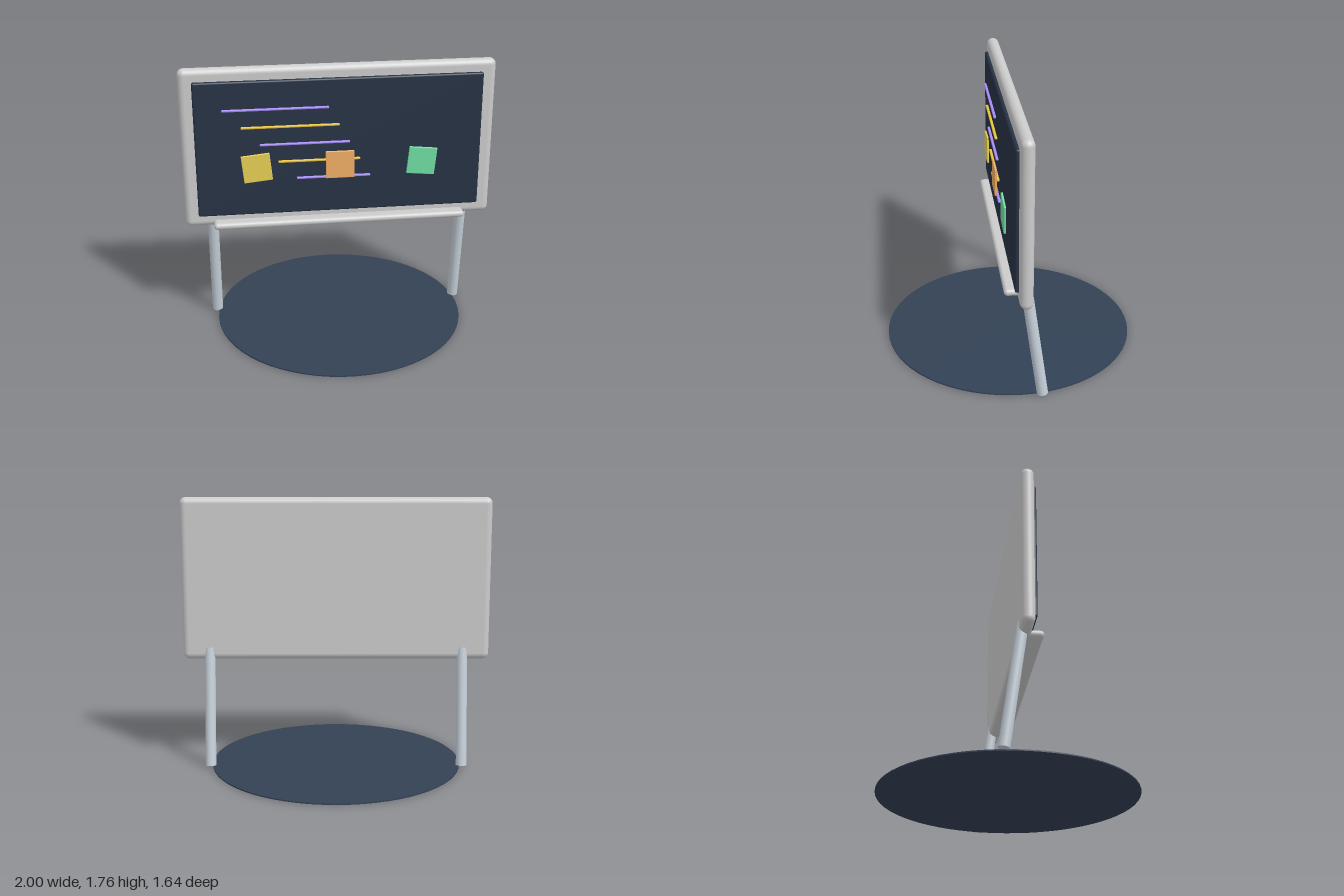
import * as THREE from 'three';
import { RoundedBoxGeometry } from 'three/addons/geometries/RoundedBoxGeometry.js';

export function createModel() {
  const model = new THREE.Group();
  model.name = 'planningBoard';

  const paint = (color) => new THREE.MeshStandardMaterial({ color });
  const grey = paint(0xcccccc);
  const steel = paint(0xc6d0da);
  const slate = paint(0x334155);
  const ink = paint(0x263244);
  const purple = paint(0xa78bfa);
  const gold = paint(0xeac53a);

  function add(name, geometry, material, x, y, z) {
    const mesh = new THREE.Mesh(geometry, material);
    mesh.name = name;
    mesh.position.set(x, y, z);
    model.add(mesh);
    return mesh;
  }
  const rounded = (w, h, d, r, segments = 4) => new RoundedBoxGeometry(w, h, d, segments, r);

  // Board: rounded frame with a dark writing panel on its front
  add('frame', rounded(2, 1.055, 0.08, 0.04, 6), grey, 0, 1.2325, 0);
  add('writingPanel', rounded(1.83, 0.895, 0.04, 0.012), ink, 0, 1.2325, 0.042);

  // Pen tray along the lower edge
  add('penTray', rounded(1.64, 0.045, 0.115, 0.0224), grey, 0, 0.728, 0.0575);

  // Handwriting strokes, each lower one shifted right and a little shorter
  for (let i = 0; i < 5; i++) {
    const length = 0.67 - i * 0.049;
    const start = -0.74 + i * 0.115;
    add('writingLine' + (i + 1), rounded(length, 0.014, 0.018, 0.005, 2),
      i % 2 ? gold : purple, start + length / 2, 1.5 - i * 0.117, 0.076);
  }

  // Sticky notes
  const notes = [
    ['yellowNote', 0xe6cf52, -0.533, 0.1],
    ['orangeNote', 0xf0ad64, -0.003, 0],
    ['greenNote', 0x70dca2, 0.527, -0.1],
  ];
  for (const [name, color, x, tilt] of notes) {
    add(name, rounded(0.183, 0.183, 0.014, 0.004, 2), paint(color), x, 1.117, 0.088).rotation.z = tilt;
  }

  // Legs lean back from the frame to the floor
  for (const side of [-1, 1]) {
    const name = side > 0 ? 'leftLeg' : 'rightLeg';
    const leg = add(name, new THREE.CylinderGeometry(0.035, 0.035, 0.78, 24), steel, side * 0.825, 0.396, -0.068);
    leg.rotation.x = 0.14;
  }

  // Thin round floor mat
  add('floorMat', new THREE.CylinderGeometry(0.82, 0.82, 0.008, 64), slate, 0, 0.004, 0);

  return model;
}
